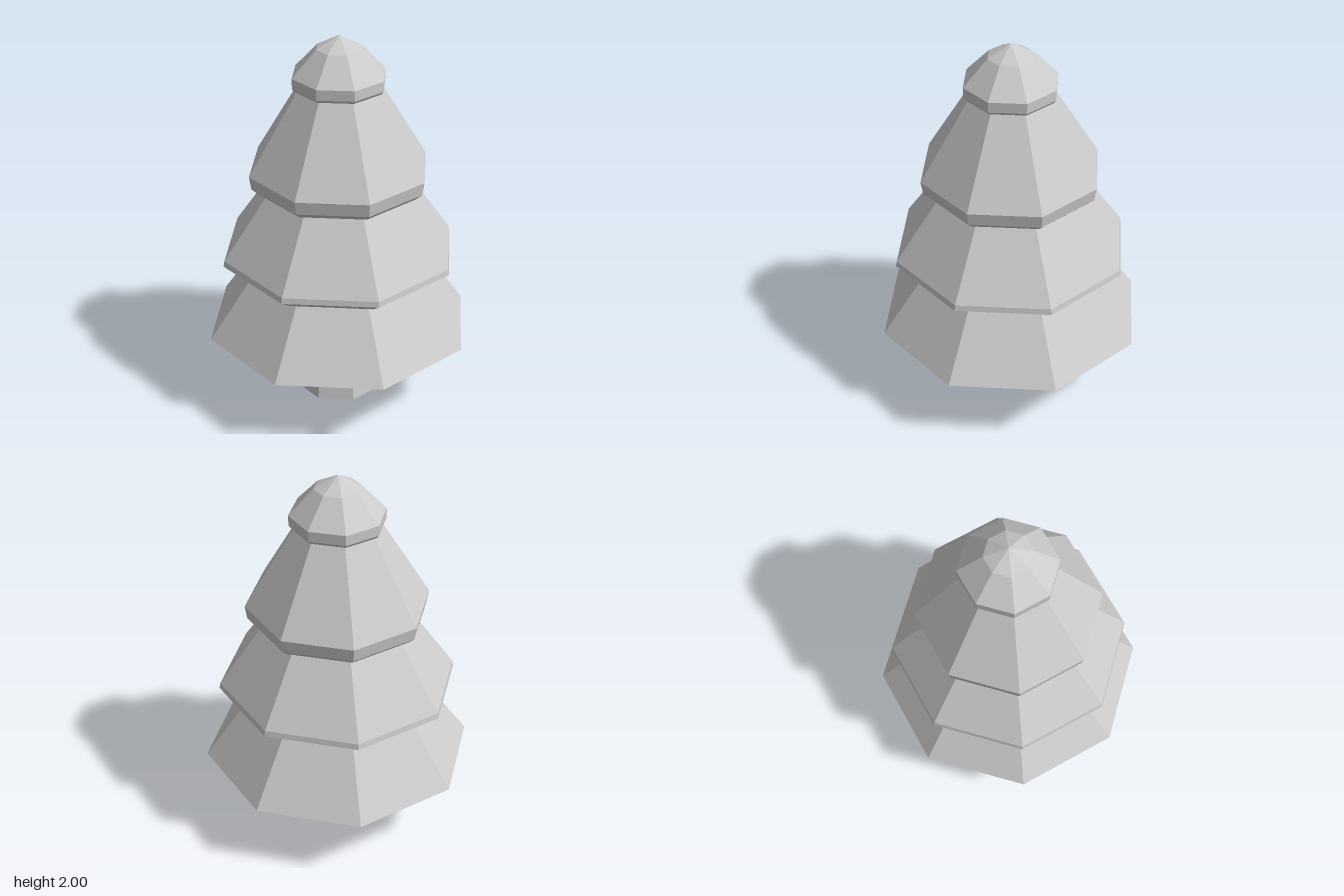
import * as THREE from 'three';

const SIDES = 8;
const material = new THREE.MeshStandardMaterial({
  color: 0xcccccc, flatShading: true, side: THREE.DoubleSide,
});

// Eight-sided shell with flats on the x and z axes.
// Each profile point is [distance from axis to flat, height], bottom to top.
function octagonShell(name, profile) {
  const toCorner = 1 / Math.cos(Math.PI / SIDES);
  const points = profile.map(([r, y]) => new THREE.Vector2(r * toCorner, y));
  const geometry = new THREE.LatheGeometry(points, SIDES, Math.PI / SIDES);
  const mesh = new THREE.Mesh(geometry, material);
  mesh.name = name;
  return mesh;
}

export function createModel() {
  const tree = new THREE.Group();
  tree.name = 'tree';

  // Tapered trunk, closed at the foot, running up inside the branches
  tree.add(octagonShell('trunk', [[0, 0], [0.23, 0], [0.18, 0.38], [0.11, 0.95]]));

  // Hollow branch tiers; each cone carries on up inside the next
  tree.add(octagonShell('lowerBranches', [[0.66, 0.38], [0.42, 0.75], [0.2, 1.09]]));
  tree.add(octagonShell('middleBranches',
    [[0.5, 0.75], [0.58, 0.81], [0.575, 0.84], [0.345, 1.2], [0.17, 1.475]]));
  tree.add(octagonShell('upperBranches',
    [[0.4, 1.2], [0.43, 1.23], [0.44, 1.3], [0.2, 1.73], [0.165, 1.79]]));

  // Domed tip with a short rim
  tree.add(octagonShell('treeTop',
    [[0.215, 1.73], [0.225, 1.745], [0.226, 1.8], [0.11, 1.935], [0, 2]]));

  return tree;
}
